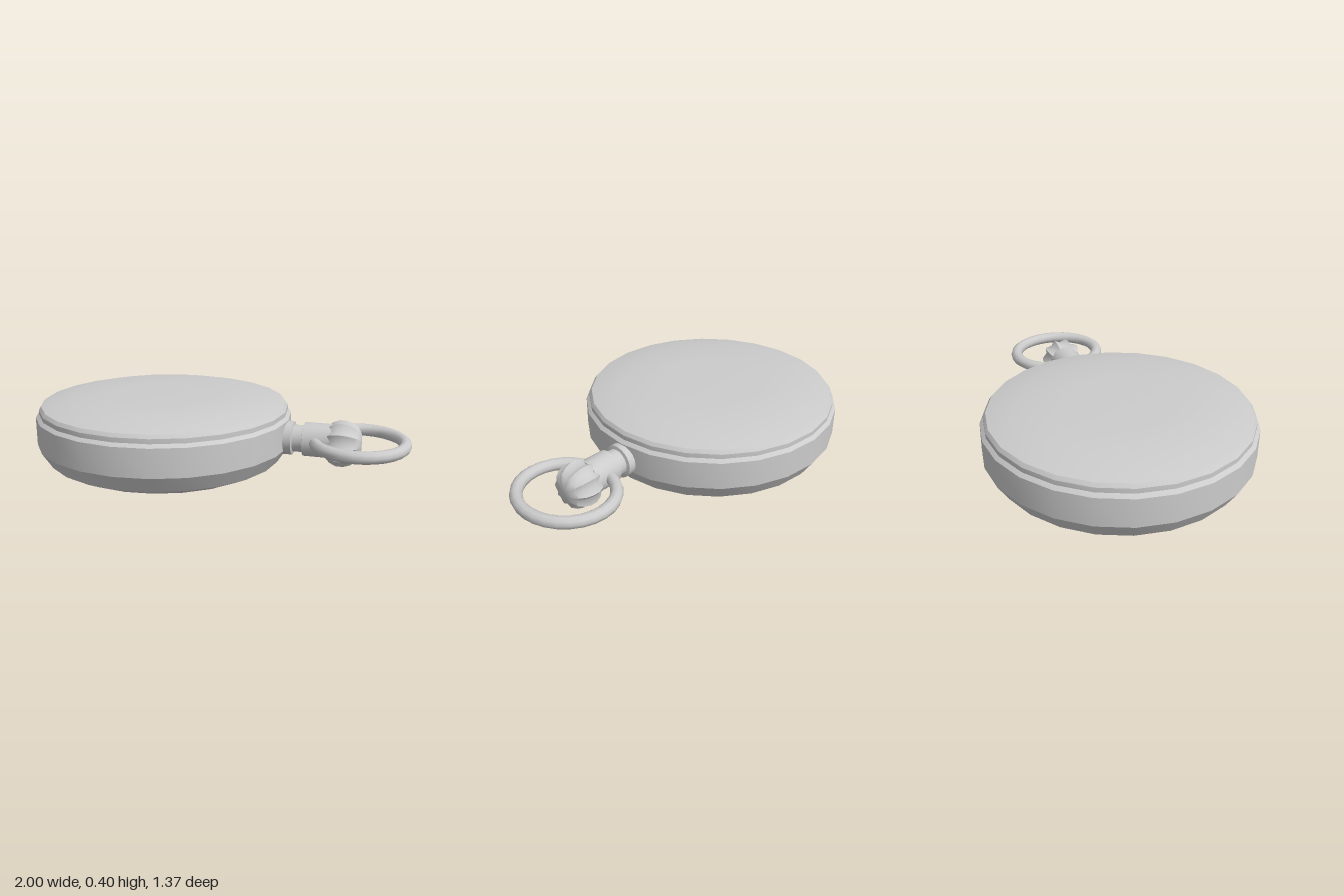
import * as THREE from 'three';
import { toCreasedNormals } from 'three/addons/utils/BufferGeometryUtils.js';

const material = new THREE.MeshStandardMaterial({ color: 0xcccccc });
const STEM_Y = 0.205;

// Turned solid from [radius, height] pairs, listed bottom to top
function turned(profile, sides) {
  return new THREE.LatheGeometry(profile.map(([r, y]) => new THREE.Vector2(r, y)), sides);
}

function part(name, geometry, crease = 0.45) {
  const mesh = new THREE.Mesh(toCreasedNormals(geometry, crease), material);
  mesh.name = name;
  return mesh;
}

export function createModel() {
  const watch = new THREE.Group();
  watch.name = 'pocketWatch';

  // Round case: rounded back, straight band and stepped rim
  const body = new THREE.Group();
  body.name = 'case';
  body.position.x = -0.317;
  body.add(
    part('caseShell', turned([
      [0, 0], [0.41, 0.005], [0.55, 0.03], [0.632, 0.07],
      [0.686, 0.155], [0.686, 0.302], [0.668, 0.318], [0.6, 0.318],
    ], 24)),
    // Shallow domed cover seated in the rim
    part('cover', turned([
      [0.668, 0.315], [0.668, 0.342], [0.655, 0.36], [0.5, 0.396], [0.25, 0.399], [0, 0.4],
    ], 24)),
  );
  watch.add(body);

  // Stem: collar, narrow neck and sleeve, turned about the x axis
  const stem = part('stem', turned([
    [0, 0.33], [0.088, 0.33], [0.088, 0.398], [0.07, 0.402], [0.07, 0.452],
    [0.088, 0.456], [0.088, 0.6], [0, 0.6],
  ], 20).rotateZ(-Math.PI / 2));
  stem.position.y = STEM_Y + 0.005;
  watch.add(stem);

  // Fluted crown: every second meridian is pulled inward to form ten ridges
  const crownProfile = [
    [0, 0.55], [0.075, 0.565], [0.105, 0.595], [0.119, 0.63], [0.119, 0.665],
    [0.108, 0.7], [0.088, 0.73], [0.06, 0.746], [0, 0.75],
  ];
  const crownGeometry = turned(crownProfile, 20);
  const position = crownGeometry.attributes.position;
  for (let i = 0; i < position.count; i++) {
    const meridian = Math.floor(i / crownProfile.length);
    const k = meridian % 2 ? 0.83 : 1;
    position.setXYZ(i, position.getX(i) * k, position.getY(i), position.getZ(i) * k);
  }
  const crown = part('crown', crownGeometry.rotateZ(-Math.PI / 2), 0.9);
  crown.position.y = STEM_Y - 0.003;
  watch.add(crown);

  // Bow: slightly oval ring lying flat, passing through the sleeve
  const bow = part('bow', new THREE.TorusGeometry(0.239, 0.032, 10, 28).rotateX(Math.PI / 2), 1.2);
  bow.scale.set(0.96, 1, 1.033);
  bow.position.set(0.738, 0.212, -0.009);
  watch.add(bow);

  return watch;
}
